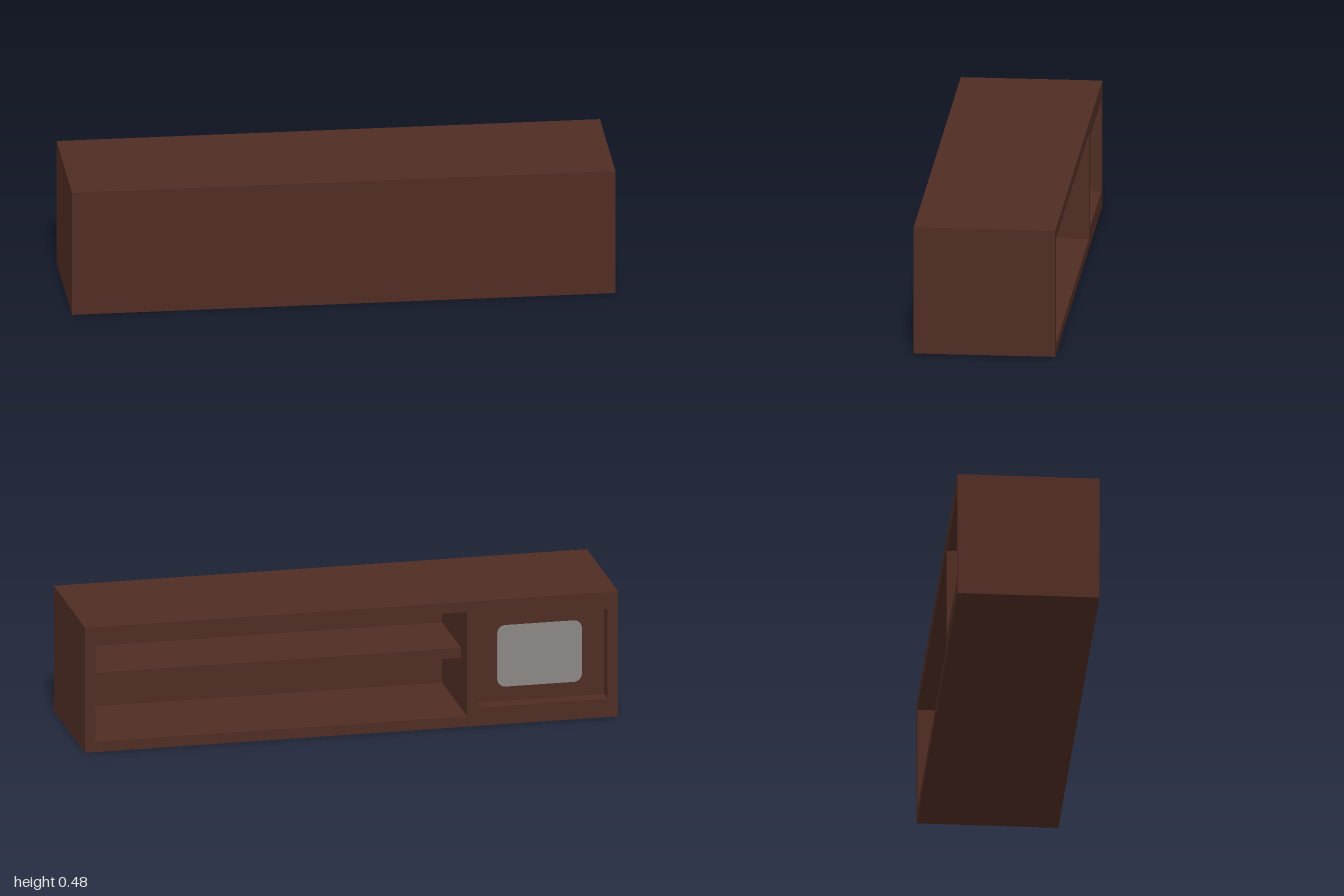
import * as THREE from 'three';

const wood = new THREE.MeshStandardMaterial({ color: 0x4f2c23 });
wood.name = 'dark brown wood';
const grey = new THREE.MeshStandardMaterial({ color: 0x8c8785 });
grey.name = 'grey screen';

// outer size of the cabinet and its board thickness
const H = 0.48, Z = 0.26, T = 0.04;
const INNER = 0.155; // inner face of the thick front panel

// board given by its minimum and maximum on each axis
function board(name, [x0, x1], [y0, y1], [z0, z1]) {
  const mesh = new THREE.Mesh(new THREE.BoxGeometry(x1 - x0, y1 - y0, z1 - z0), wood);
  mesh.position.set((x0 + x1) / 2, (y0 + y1) / 2, (z0 + z1) / 2);
  mesh.name = name;
  return mesh;
}

function roundedRect(w, h, r) {
  const s = new THREE.Shape();
  const x = w / 2 - r, y = h / 2 - r;
  s.absarc(x, y, r, 0, Math.PI / 2);
  s.absarc(-x, y, r, Math.PI / 2, Math.PI);
  s.absarc(-x, -y, r, Math.PI, Math.PI * 1.5);
  s.absarc(x, -y, r, Math.PI * 1.5, Math.PI * 2);
  s.closePath();
  return s;
}

export function createModel() {
  const model = new THREE.Group();
  model.name = 'cabinet';

  // carcass, open at the back
  const inside = [T, H - T];
  model.add(
    board('bottomBoard', [-1, 1], [0, T], [-Z, Z]),
    board('topBoard', [-1, 1], [H - T, H], [-Z, Z]),
    board('leftSide', [1 - T, 1], inside, [-Z, Z]),
    board('rightSide', [-1, T - 1], inside, [-Z, Z]),
    board('frontPanel', [T - 1, 1 - T], inside, [INNER, Z]),
    board('divider', [-0.475, -0.433], inside, [-Z, INNER]),
    // set-back shelf in the wide compartment
    board('shelf', [-0.433, 1 - T], [0.233, 0.272], [-0.16, INNER])
  );

  // small framed recess with its backing panel
  const bay = [T - 1, -0.475];
  model.add(
    board('recessBottomRail', bay, [T, 0.07], [-Z, -0.2]),
    board('recessTopRail', bay, [0.415, H - T], [-Z, -0.2]),
    board('recessPanel', bay, inside, [-0.2, INNER])
  );

  // rounded screen plate on the recess panel, facing the back
  const plate = new THREE.ExtrudeGeometry(roundedRect(0.317, 0.235, 0.03), {
    depth: 0.004, bevelEnabled: false, curveSegments: 6
  });
  const screen = new THREE.Mesh(plate, grey);
  screen.rotation.y = Math.PI;
  screen.position.set(-0.718, 0.243, -0.2);
  screen.name = 'screen';
  model.add(screen);

  return model;
}
